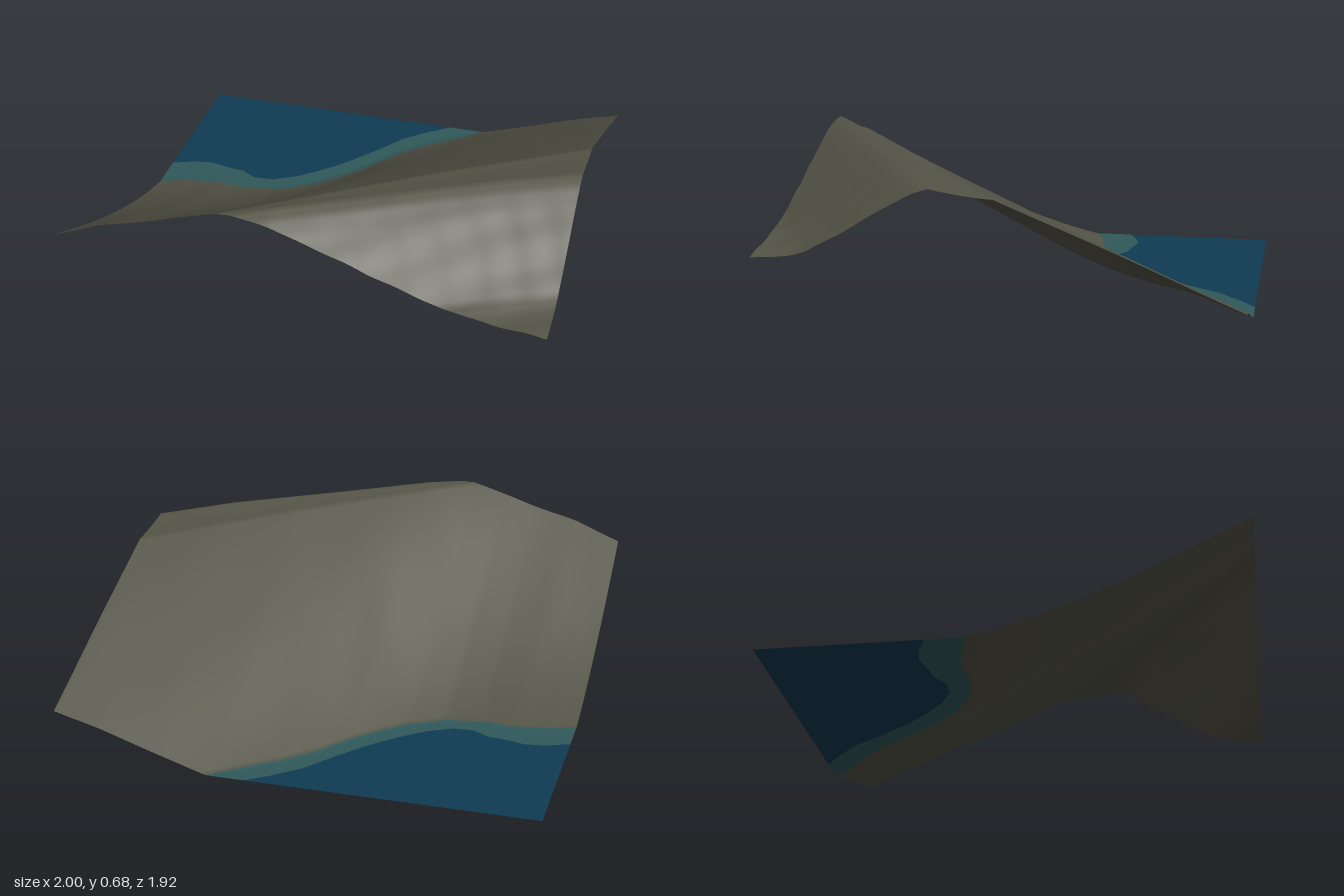
import * as THREE from 'three';

const DEPTH = 0.962;

// Smooth interpolation through [position, value] pairs, extended flat past the ends
function lerpTable(table, p) {
  if (p <= table[0][0]) return table[0][1];
  for (let i = 1; i < table.length; i++) {
    const [p0, v0] = table[i - 1], [p1, v1] = table[i];
    if (p <= p1) return v0 + (v1 - v0) * (p - p0) / (p1 - p0);
  }
  return table[table.length - 1][1];
}

// Plan lines, each giving z for a given x
const deepLine = [[-1, -0.3], [-0.9, -0.34], [-0.82, -0.352], [-0.72, -0.33], [-0.66, -0.325], [-0.59, -0.285],
  [-0.5, -0.29], [-0.4, -0.345], [-0.3, -0.43], [-0.25, -0.48], [-0.2, -0.535], [-0.1, -0.66],
  [0, -0.8], [0.1, -0.89], [0.2, -0.965], [1, -1.6]];
const shoreLine = [[-1, -0.135], [-0.9, -0.175], [-0.75, -0.2], [-0.6, -0.19], [-0.45, -0.22], [-0.3, -0.305],
  [-0.2, -0.4], [-0.1, -0.51], [0, -0.65], [0.1, -0.75], [0.25, -0.87], [0.36, -0.965], [1, -1.45]];
const deep = (x) => lerpTable(deepLine, x);
const shore = (x) => lerpTable(shoreLine, x);
const crest = (x) => 0.96 - (x + 0.3) * 0.74;
const ridge = (x) => Math.max(crest(x), 0.96 - (x + 0.25) * 0.568);

// Heights along the crest and the ridge, and the fall beyond the ridge
const crestHeights = [[-1, 0.685], [-0.8, 0.71], [-0.5, 0.693], [-0.3, 0.672], [0.4, 0.645], [1, 0.6]];
const ridgeHeights = [[-0.3, 0.672], [-0.1, 0.68], [0.25, 0.668], [0.7, 0.657], [1, 0.632]];
const fall = [[0, 0], [0.06, 0.02], [0.14, 0.062], [0.256, 0.13], [0.37, 0.2], [0.48, 0.262],
  [0.54, 0.28], [0.6, 0.29], [0.75, 0.296]];

function height(x, z) {
  const s = shore(x), c = crest(x), r = ridge(x);
  if (z <= s) return 0;
  const bump = 0.002 * (Math.sin(9 * x + 4 * z) + Math.sin(17 * x - 6 * z + 1));
  const crestY = lerpTable(crestHeights, x);
  if (z <= c) {
    const t = (z - s) / (c - s);
    const hollow = 0.5 * THREE.MathUtils.clamp((0.8 - x) / 1.8, 0, 1);
    return Math.max(0, crestY * (t - hollow * t * (1 - t) ** 2) + bump * Math.sin(Math.PI * t));
  }
  const ridgeY = lerpTable(ridgeHeights, x);
  if (z <= r) return crestY + (ridgeY - crestY) * ((z - c) / (r - c)) ** 1.5;
  const d = z - r;
  const rough = 0.003 * Math.sin(31 * x + 8 * z) * Math.sin(23 * z - 5 * x);
  return ridgeY - lerpTable(fall, d) + rough * Math.min(1, d * 5);
}

// A strip of ground between two plan lines, cut off at the square border
function strip(name, from, to, rows, material) {
  const columns = 200, positions = [], normals = [], index = [];
  const cut = (z) => THREE.MathUtils.clamp(z, -DEPTH, DEPTH);
  const e = 0.02;
  for (let i = 0; i <= columns; i++) {
    const x = -1 + 2 * i / columns;
    const z0 = cut(from(x)), z1 = cut(to(x));
    for (let j = 0; j <= rows; j++) {
      const z = z0 + (z1 - z0) * j / rows;
      positions.push(x, height(x, z), z);
      const n = new THREE.Vector3(height(x - e, z) - height(x + e, z), 2 * e, height(x, z - e) - height(x, z + e));
      normals.push(...n.normalize().toArray());
    }
  }
  for (let i = 0; i < columns; i++) {
    for (let j = 0; j < rows; j++) {
      const a = i * (rows + 1) + j, b = a + rows + 1;
      const width = (k) => positions[3 * (k + 1) + 2] - positions[3 * k + 2];
      if (width(a) > 1e-6) index.push(a, a + 1, b);
      if (width(b) > 1e-6) index.push(b, a + 1, b + 1);
    }
  }
  const geometry = new THREE.BufferGeometry();
  geometry.setAttribute('position', new THREE.Float32BufferAttribute(positions, 3));
  geometry.setAttribute('normal', new THREE.Float32BufferAttribute(normals, 3));
  geometry.setIndex(index);
  const mesh = new THREE.Mesh(geometry, material);
  mesh.name = name;
  return mesh;
}

function paint(name, color) {
  const material = new THREE.MeshStandardMaterial({ color, side: THREE.DoubleSide });
  material.name = name;
  return material;
}

export function createModel() {
  const group = new THREE.Group();
  group.name = 'coastalTerrain';
  const land = paint('olive earth', 0x545346);
  const shallow = paint('shallow teal', 0x30595b);
  const water = paint('deep blue', 0x0f3a52);

  const back = () => -DEPTH, front = () => DEPTH;
  group.add(
    strip('deepWater', back, deep, 4, water),
    strip('shallowWater', deep, shore, 3, shallow),
    strip('seawardSlope', shore, crest, 60, land),
    strip('hilltop', crest, ridge, 10, land),
    strip('inlandSlope', ridge, front, 40, land),
  );
  return group;
}
